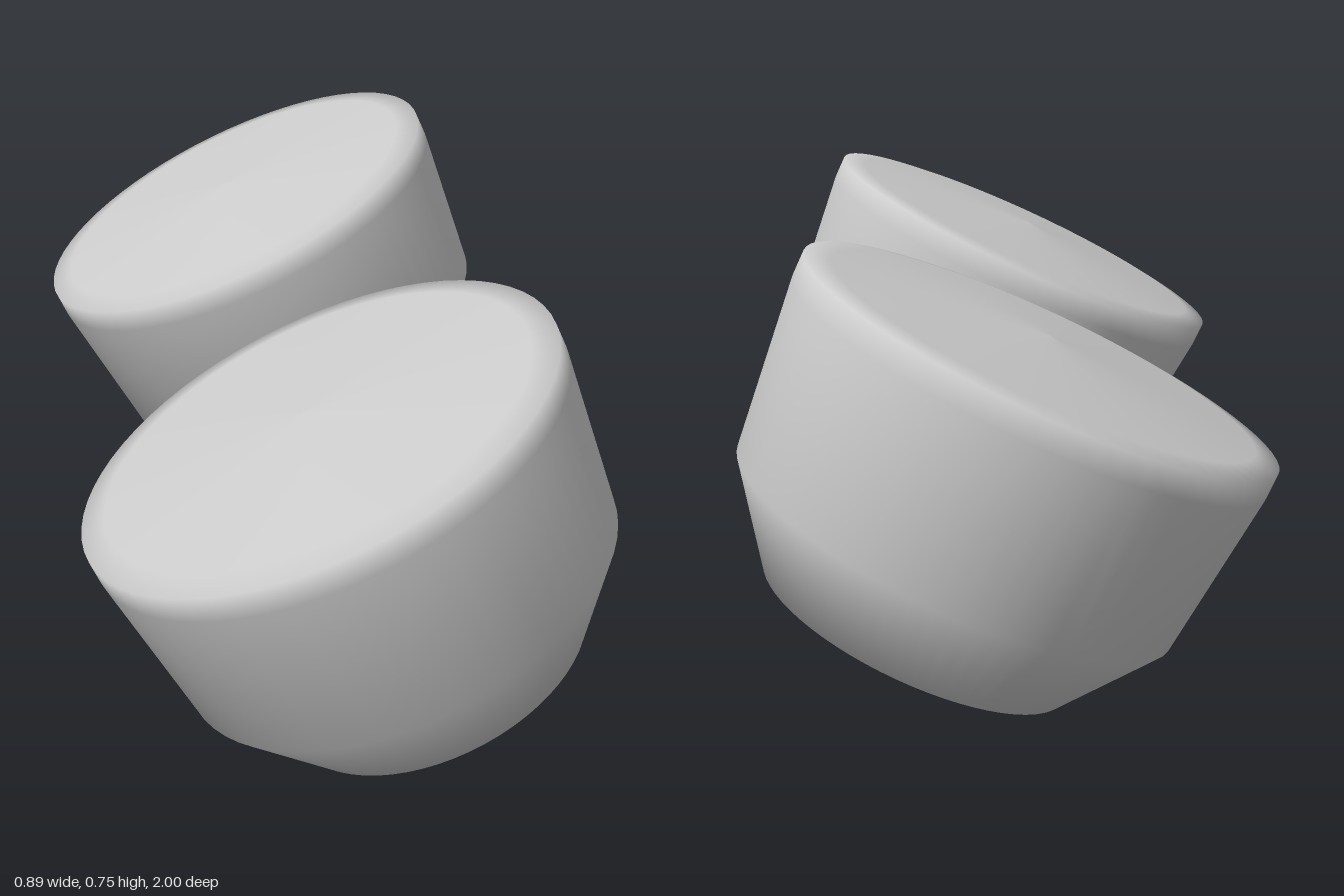
import * as THREE from 'three';

export function createModel() {
  const model = new THREE.Group();
  const grey = new THREE.MeshStandardMaterial({ color: 0xcccccc });
  grey.name = 'light grey';

  // Drum profile from the bottom centre to the top centre, origin at the rim
  const profile = [
    [0, -0.526], [0.278, -0.508], [0.395, -0.342],
    [0.425, -0.045], [0.425, 0], [0.379, 0.008], [0, 0.035],
  ].map(([r, y]) => new THREE.Vector2(r, y));
  const shellGeometry = new THREE.LatheGeometry(profile, 64);

  for (const side of [1, -1]) {
    const drum = new THREE.Group();
    drum.name = side > 0 ? 'frontDrum' : 'backDrum';

    // Tilted shell with its slightly domed head
    const shell = new THREE.Mesh(shellGeometry, grey);
    shell.name = 'drumShell';
    shell.position.set(-0.06, 0.581, side * 0.575);
    shell.rotation.z = THREE.MathUtils.degToRad(24.6);
    drum.add(shell);

    // Mounting peg running diagonally under the drum
    const inner = new THREE.Vector3(-0.113, 0.064, side * 0.285);
    const outer = new THREE.Vector3(0.158, 0.115, side * 0.565);
    const axis = outer.clone().sub(inner);
    const peg = new THREE.Mesh(new THREE.CylinderGeometry(0.06, 0.06, axis.length(), 32), grey);
    peg.name = 'mountingPeg';
    peg.position.copy(inner).add(outer).multiplyScalar(0.5);
    peg.quaternion.setFromUnitVectors(new THREE.Vector3(0, 1, 0), axis.normalize());
    drum.add(peg);

    model.add(drum);
  }
  return model;
}
